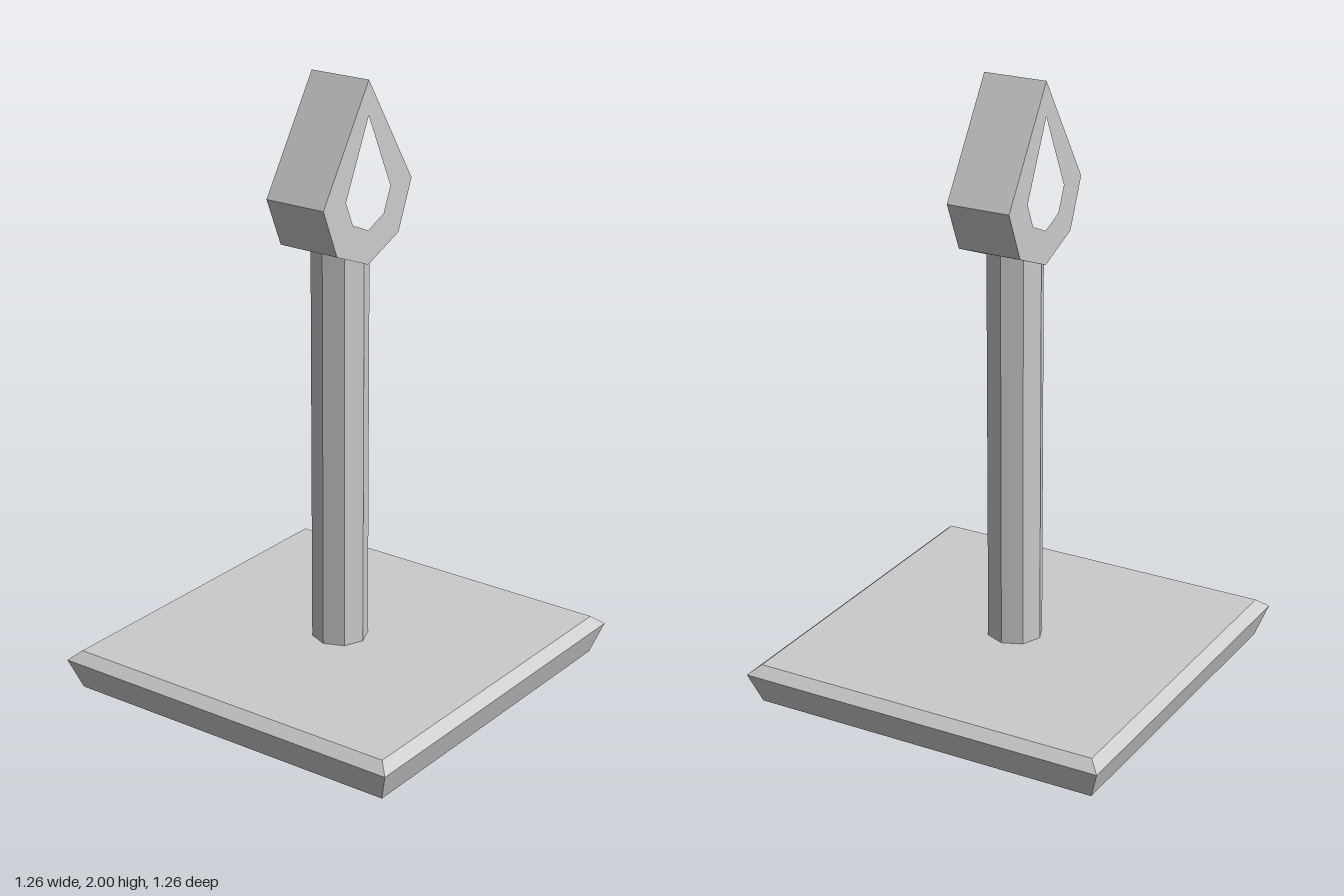
import * as THREE from 'three';

const material = new THREE.MeshStandardMaterial({ color: 0xcccccc, flatShading: true });

function addPart(group, name, geometry) {
  const mesh = new THREE.Mesh(geometry, material);
  mesh.name = name;
  group.add(mesh);
  return mesh;
}

// Closed outline from its +side half (top to bottom), mirrored to the other side
function mirroredOutline(half) {
  const mirrored = half.slice(1, -1).reverse().map(([x, y]) => [-x, y]);
  return [...half, ...mirrored].map(([x, y]) => new THREE.Vector2(x, y));
}

export function createModel() {
  const model = new THREE.Group();
  model.name = 'postWithEye';

  // Square base plate: sides flare outwards, then a bevel runs in to the top
  const profile = [[0, 0], [0.595, 0], [0.63, 0.1], [0.595, 0.13], [0, 0.13]]
    .map(([half, y]) => new THREE.Vector2(half * Math.SQRT2, y));
  addPart(model, 'base', new THREE.LatheGeometry(profile, 4, Math.PI / 4));

  // Eight-sided post, its top sunk into the head
  const bottom = 0.13, top = 1.475;
  const post = addPart(model, 'post', new THREE.CylinderGeometry(0.092, 0.092, top - bottom, 8));
  post.position.y = (top + bottom) / 2;

  // Pointed teardrop head with a matching hole, extruded along x
  const width = 0.214;
  const outline = new THREE.Shape(
    mirroredOutline([[0, 2], [0.228, 1.645], [0.16, 1.485], [0, 1.42]]));
  outline.holes.push(new THREE.Path(
    mirroredOutline([[0, 1.89], [0.115, 1.645], [0.08, 1.565], [0, 1.53]])));
  const head = new THREE.ExtrudeGeometry(outline, { depth: width, bevelEnabled: false });
  head.translate(0, 0, -width / 2).rotateY(Math.PI / 2);
  addPart(model, 'head', head);

  return model;
}
